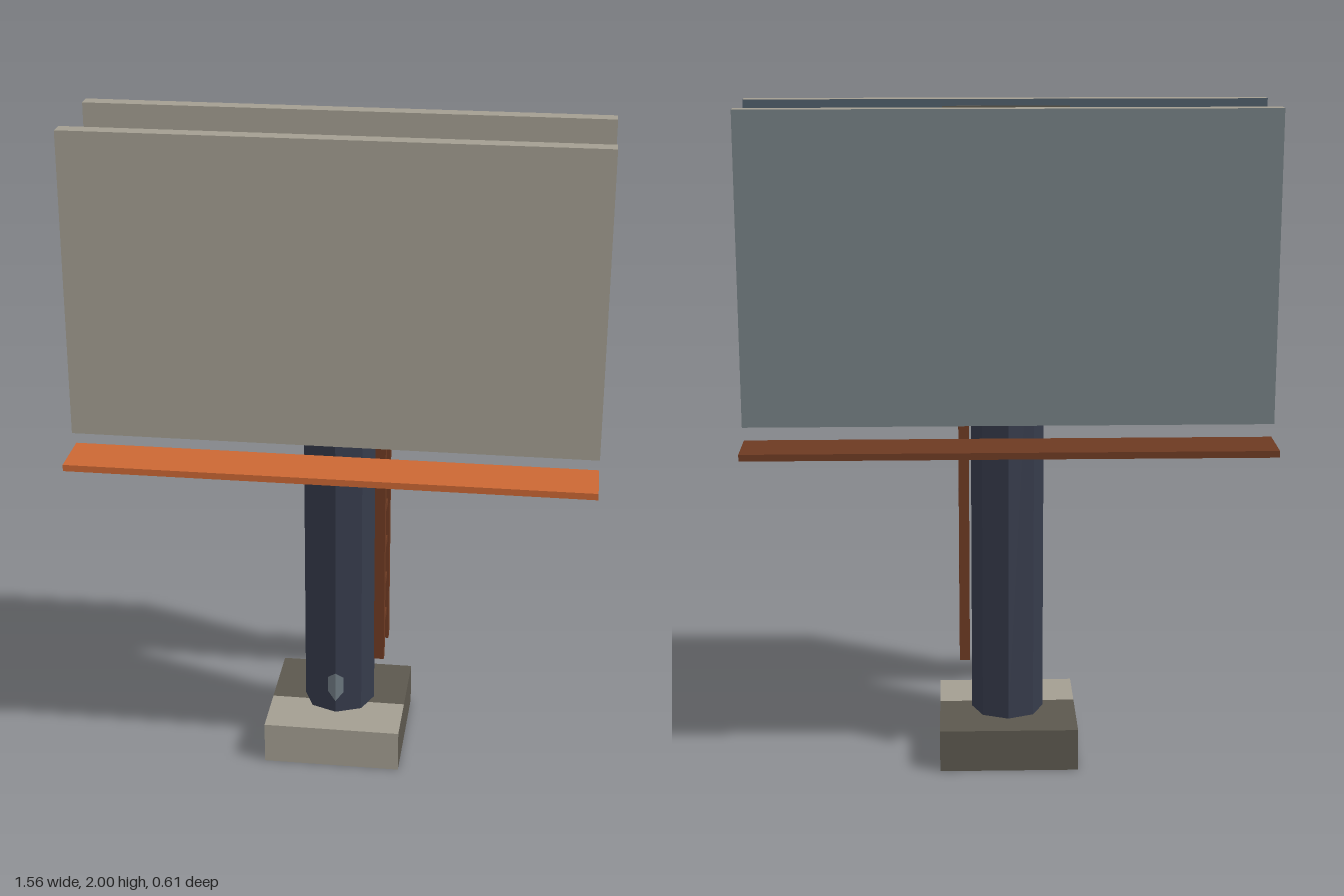
import * as THREE from 'three';

export function createModel() {
  const model = new THREE.Group();
  const mat = (name, color, side = THREE.FrontSide) => {
    const m = new THREE.MeshStandardMaterial({ color, side, flatShading: true });
    m.name = name;
    return m;
  };
  const beige = mat('beige', 0xa39e91, THREE.DoubleSide);
  const darkStone = mat('darkStone', 0x5c584e, THREE.DoubleSide);
  const slate = mat('slate', 0x707c84);
  const greySlate = mat('greySlate', 0x737e81);
  const darkSlate = mat('darkSlate', 0x4e5c68);
  const navy = mat('navy', 0x363b4b);
  const orange = mat('orange', 0xcb6734);
  const brown = mat('brown', 0x6d3a22);

  const add = (name, geometry, material, x = 0, y = 0, z = 0, parent = model) => {
    const mesh = new THREE.Mesh(geometry, material);
    mesh.name = name;
    mesh.position.set(x, y, z);
    parent.add(mesh);
    return mesh;
  };
  // box from its minimum and maximum corners
  const box = (name, a, b, material, parent) => add(
    name, new THREE.BoxGeometry(b[0] - a[0], b[1] - a[1], b[2] - a[2]), material,
    (a[0] + b[0]) / 2, (a[1] + b[1]) / 2, (a[2] + b[2]) / 2, parent);

  // footing: hollow block, open underneath
  const footing = new THREE.Group();
  footing.name = 'footing';
  model.add(footing);
  const R = 0.21, H = 0.13, split = 0.033;
  for (let i = 0; i < 4; i++) {
    const angle = i * Math.PI / 2;
    const wall = add('footingWall', new THREE.PlaneGeometry(2 * R, H), i === 0 ? beige : darkStone,
      R * Math.sin(angle), H / 2, R * Math.cos(angle), footing);
    wall.rotation.y = angle;
  }
  for (const [z0, z1, m] of [[-R, split, darkStone], [split, R, beige]]) {
    const top = add('footingTop', new THREE.PlaneGeometry(2 * R, z1 - z0), m, 0, H, (z0 + z1) / 2, footing);
    top.rotation.x = -Math.PI / 2;
  }

  // octagonal pole with a light cap
  add('pole', new THREE.CylinderGeometry(0.11, 0.11, 1.565, 8), [navy, slate, navy], 0, 0.9075, -0.005);
  const capFront = new THREE.Shape([[-0.089, -0.045], [-0.0778, -0.0728], [0, -0.105], [0.0778, -0.0728], [0.089, -0.045]]
    .map(([x, y]) => new THREE.Vector2(x, y)));
  add('poleCapFront', new THREE.ShapeGeometry(capFront), navy, 0, 1.692, 0).rotation.x = -Math.PI / 2;

  // small hatch folded over the front edge of the pole
  const hatch = new THREE.BufferGeometry();
  hatch.setAttribute('position', new THREE.Float32BufferAttribute([
    0, 0.17, 0.107, 0.025, 0.2, 0.0966, 0.025, 0.25, 0.0966,
    0, 0.27, 0.107, -0.025, 0.25, 0.0966, -0.025, 0.2, 0.0966], 3));
  hatch.setIndex([0, 1, 2, 0, 2, 3, 0, 3, 4, 0, 4, 5]);
  hatch.computeVertexNormals();
  add('hatch', hatch, slate);

  // two display panels; face order is +x, -x, +y, -y, +z, -z
  const W = 0.78;
  box('frontPanel', [-W, 1.08, 0.135], [W, 2, 0.183], [slate, slate, beige, slate, beige, darkSlate]);
  box('backPanel', [-W, 1.08, -0.185], [W, 2, -0.137], [slate, slate, beige, slate, beige, greySlate]);

  // dark patch on the inside of the front panel, behind the pole
  box('innerPatch', [-0.19, 1.08, 0.133], [0.19, 1.89, 0.135], navy);
  box('innerPatchTop', [-0.19, 1.89, 0.133], [0.19, 1.98, 0.135], darkStone);

  // walkways
  box('frontWalkway', [-W, 1.01, 0.14], [W, 1.03, 0.303], [brown, brown, orange, brown, orange, brown]);
  box('backWalkway', [-W, 1.01, -0.303], [W, 1.03, -0.14], brown);

  // ladder on the +x side
  const ladder = new THREE.Group();
  ladder.name = 'ladder';
  model.add(ladder);
  for (const z of [0.06, -0.075])
    box('ladderRail', [0.117, 0.315, z - 0.015], [0.148, 1.12, z + 0.015], brown, ladder);
  for (let i = 0; i < 6; i++) {
    const y = 0.415 + i * 0.127;
    box('ladderRung', [0.123, y - 0.011, -0.06], [0.142, y + 0.011, 0.045], brown, ladder);
  }
  return model;
}
